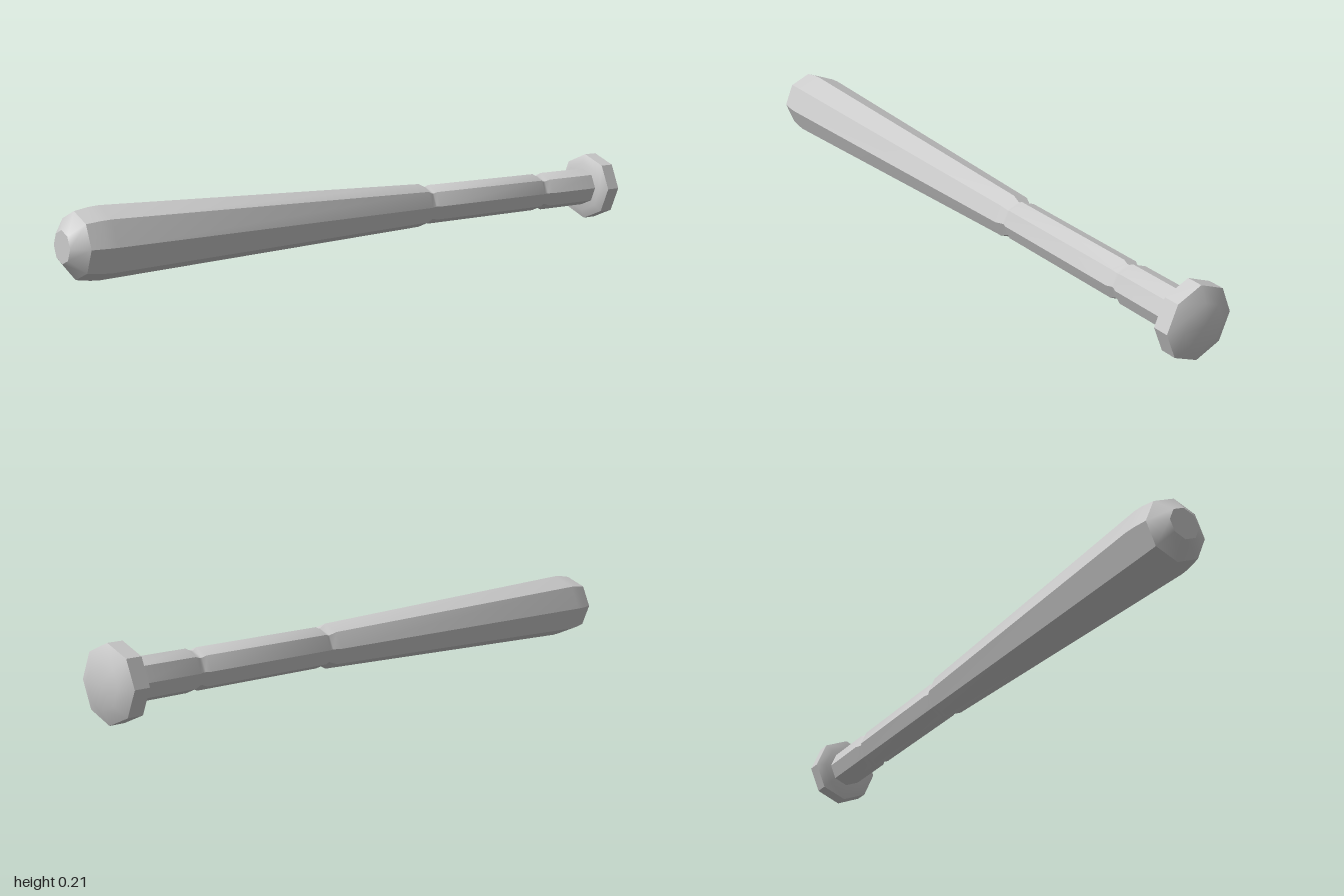
import * as THREE from 'three';
import { toCreasedNormals } from 'three/addons/utils/BufferGeometryUtils.js';

const SIDES = 8;
const CENTER_Y = 0.107;
const material = new THREE.MeshStandardMaterial({ color: 0xcccccc });

// Turn a profile of [radius, z] pairs, back to front, around the long axis
function turnedPart(name, profile) {
  const points = profile.map(([r, z]) => new THREE.Vector2(r, z));
  const turned = new THREE.LatheGeometry(points, SIDES).rotateX(Math.PI / 2);
  const mesh = new THREE.Mesh(toCreasedNormals(turned, THREE.MathUtils.degToRad(35)), material);
  mesh.name = name;
  mesh.position.y = CENTER_Y;
  return mesh;
}

export function createModel() {
  const bat = new THREE.Group();
  bat.name = 'bat';

  // Flared end knob with softened rims
  bat.add(turnedPart('knob', [
    [0, -1], [0.065, -0.998], [0.107, -0.978], [0.107, -0.93], [0.08, -0.918], [0, -0.916],
  ]));

  // Slim handle, grooves and tapering barrel with a chamfered tip
  bat.add(turnedPart('shaft', [
    [0.06, -0.925], [0.06, -0.725], [0.052, -0.708], [0.052, -0.7], [0.059, -0.688],
    [0.06, -0.243], [0.055, -0.232], [0.055, -0.227], [0.066, -0.205],
    [0.1, 0.89], [0.098, 0.92], [0.091, 0.963], [0.045, 1], [0, 1],
  ]));

  return bat;
}
